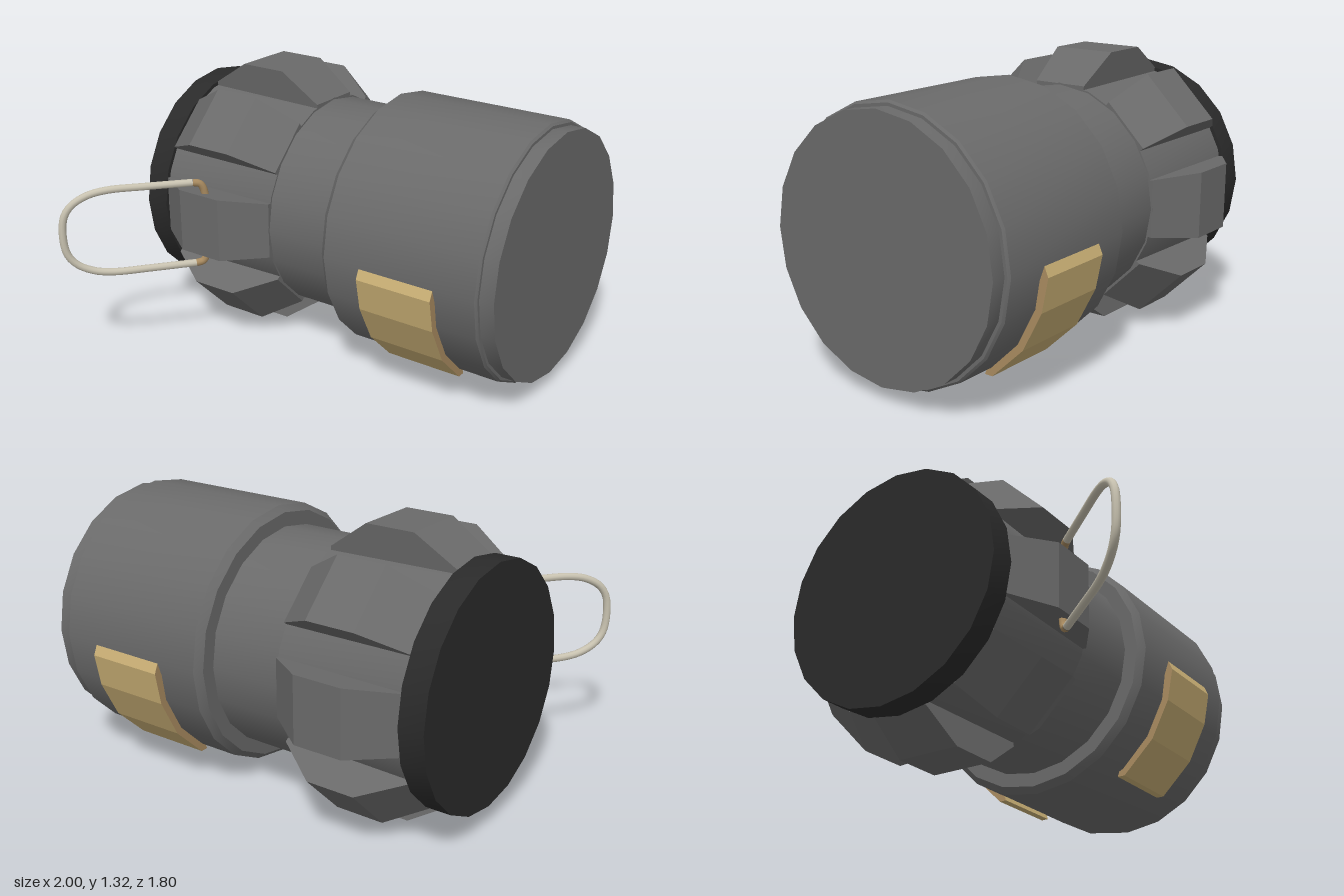
import * as THREE from 'three';
import { toCreasedNormals } from 'three/addons/utils/BufferGeometryUtils.js';

const CY = 0.66, CZ = -0.24; // height and depth of the main axis

export function createModel() {
  const model = new THREE.Group();
  const mat = (name, color) => {
    const m = new THREE.MeshStandardMaterial({ color });
    m.name = name;
    return m;
  };
  const grey = mat('greyMetal', 0x6a6a6a);
  const black = mat('blackRubber', 0x2a2a2a);
  const brass = mat('brass', 0xc8ae74);
  const tan = mat('tanMetal', 0xa98b60);
  const steel = mat('paleSteel', 0xc8c2b0);

  // Everything turned about the long axis goes in one group
  const barrel = new THREE.Group();
  barrel.name = 'barrel';
  barrel.position.set(0, CY, CZ);
  model.add(barrel);

  const add = (parent, name, geometry, material) => {
    const mesh = new THREE.Mesh(geometry, material);
    mesh.name = name;
    parent.add(mesh);
    return mesh;
  };

  // Turned part from a profile of [x, radius] pairs, lying along x
  const turned = (name, profile, material) => {
    const pts = profile.map(([x, r]) => new THREE.Vector2(r, x));
    const geo = new THREE.LatheGeometry(pts, 20).rotateZ(-Math.PI / 2);
    add(barrel, name, toCreasedNormals(geo, 0.4), material);
  };
  turned('endCap', [[-0.985, 0], [-0.985, 0.555], [-0.865, 0.555], [-0.865, 0]], black);
  turned('gripCore', [[-0.865, 0], [-0.865, 0.537], [-0.24, 0.525], [-0.24, 0]], grey);
  turned('neck', [[-0.3, 0.517], [0.2, 0.517]], grey);
  turned('mainBody', [[0.115, 0.5], [0.115, 0.583], [0.147, 0.612], [0.92, 0.612],
    [0.93, 0.602], [0.93, 0.588], [1, 0.588], [1, 0]], grey);

  // Eight bevelled grip lugs: a box reshaped to a chamfered, inward tapering block
  const lugX = [-0.865, -0.67, -0.435, -0.24];
  const lugR = [0.535, 0.66, 0.66, 0.522];
  let lug = new THREE.BoxGeometry(1, 1, 1, 3, 1, 1);
  const p = lug.attributes.position;
  for (let i = 0; i < p.count; i++) {
    const k = Math.round((p.getX(i) + 0.5) * 3);
    const r = p.getY(i) > 0 ? lugR[k] : 0.46;
    const half = 0.155 - (0.66 - r) * 0.14;
    p.setXYZ(i, lugX[k], r, Math.sign(p.getZ(i)) * half);
  }
  lug = lug.toNonIndexed();
  lug.computeVertexNormals();
  for (let i = 0; i < 8; i++) {
    add(barrel, 'gripLug', lug, grey).rotation.x = i * Math.PI / 4;
  }

  // Curved brass plates on the lower front and lower back
  const polar = (deg, r) => {
    const a = deg * Math.PI / 180;
    return [r * Math.cos(a), r * Math.sin(a)];
  };
  const outline = (side) => {
    const outer = [-4, -18, -36, -55.5].map((d) => polar(d, 0.645));
    const inner = [-58.3, -54, -36, -18, 0].map((d) => polar(d, d === 0 || d < -58 ? 0.624 : 0.59));
    return new THREE.Shape([...outer, ...inner].map(([z, y]) => new THREE.Vector2(-side * z, y)));
  };
  for (const side of [1, -1]) {
    const geo = new THREE.ExtrudeGeometry(outline(side), { depth: 0.38, bevelEnabled: false });
    geo.rotateY(Math.PI / 2).translate(0.345, 0, 0);
    add(barrel, side > 0 ? 'frontPlate' : 'backPlate', geo, [tan, brass]);
  }

  // Wire loop swung out from the front lug; points are [z, y offset]
  const wire = (name, points, material, segments) => {
    const path = new THREE.CatmullRomCurve3(points.map(([z, y]) =>
      new THREE.Vector3(-0.56 - (z - 0.37) * 0.82, CY + y, z)), false, 'centripetal');
    add(model, name, new THREE.TubeGeometry(path, segments, 0.018, 10), material);
  };
  const upper = [[0.41, 0.207], [0.58, 0.209], [0.72, 0.208], [0.79, 0.19], [0.85, 0.145], [0.88, 0.08]];
  const mirrored = (list) => list.map(([z, y]) => [z, -y]);
  wire('wireLoop', [...upper, ...mirrored(upper).reverse()], steel, 60);
  const hook = [[0.41, 0.207], [0.385, 0.2], [0.373, 0.18], [0.365, 0.14]];
  wire('upperHook', hook, tan, 12);
  wire('lowerHook', mirrored(hook), tan, 12);

  return model;
}
